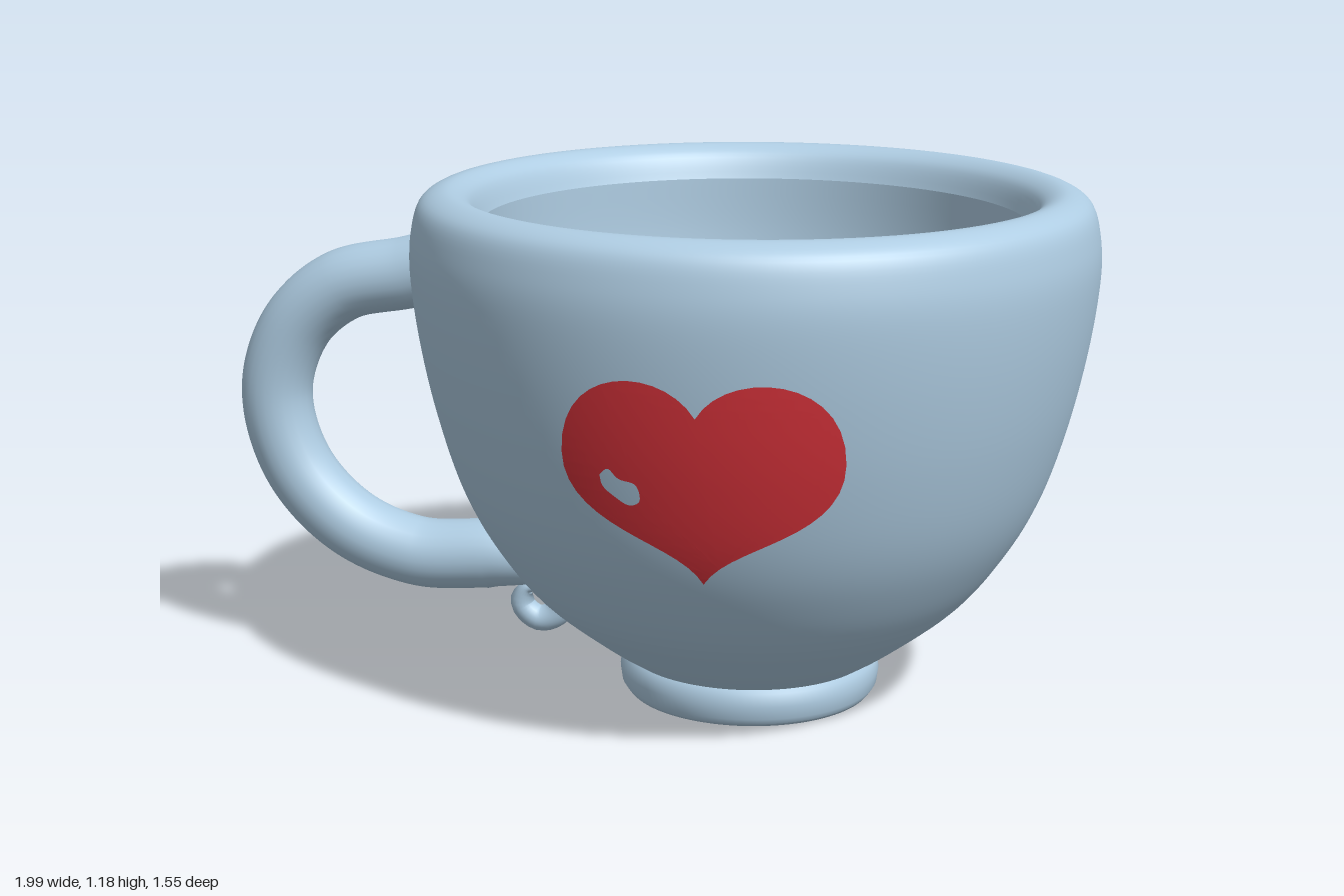
import * as THREE from 'three';
import { mergeVertices } from 'three/addons/utils/BufferGeometryUtils.js';

const SEGMENTS = 96;
const CUP_X = 0.225;      // cup axis
const TURN = -0.142;      // handle swings slightly towards the back

const vec2 = ([x, y]) => new THREE.Vector2(x, y);
const smoothProfile = (pts, n) => new THREE.SplineCurve(pts.map(vec2)).getPoints(n);

// Outer wall from the foot up and over the rounded rim
const wall = smoothProfile([
  [0.285, 0.085], [0.37, 0.143], [0.505, 0.255], [0.6, 0.38], [0.667, 0.51], [0.72, 0.68],
  [0.755, 0.85], [0.772, 1.0], [0.767, 1.09], [0.745, 1.155], [0.69, 1.18], [0.64, 1.158], [0.614, 1.1],
], 72);

// Radius of the outer wall at height y
function wallRadius(y) {
  const i = wall.findIndex((p, k) => k > 0 && p.y >= y);
  const a = wall[i - 1], b = wall[i];
  return THREE.MathUtils.mapLinear(y, a.y, b.y, a.x, b.x);
}

// Split every triangle in four, then bend the flat sheet onto the wall
function wrapOnWall(flat, levels) {
  const pos = flat.toNonIndexed().attributes.position;
  let tris = [];
  for (let i = 0; i < pos.count; i += 3) {
    tris.push([0, 1, 2].map((k) => new THREE.Vector3().fromBufferAttribute(pos, i + k)));
  }
  for (let l = 0; l < levels; l++) {
    tris = tris.flatMap(([a, b, c]) => {
      const ab = a.clone().lerp(b, 0.5), bc = b.clone().lerp(c, 0.5), ca = c.clone().lerp(a, 0.5);
      return [[a, ab, ca], [ab, b, bc], [ca, bc, c], [ab, bc, ca]];
    });
  }
  const points = tris.flat().map((p) =>
    new THREE.Vector3(p.x, p.y, Math.sqrt(wallRadius(p.y) ** 2 - p.x ** 2) + 0.004));
  const geometry = mergeVertices(new THREE.BufferGeometry().setFromPoints(points), 1e-5);
  geometry.computeVertexNormals();
  return geometry;
}

// Tube whose radius follows a list of [t, radius] stops
function taperedTube(curve, stops, rings, sides) {
  const geometry = new THREE.TubeGeometry(curve, rings, 1, sides);
  const pos = geometry.attributes.position;
  const v = new THREE.Vector3();
  for (let i = 0; i <= rings; i++) {
    const t = i / rings;
    const k = Math.max(1, stops.findIndex((s) => s[0] >= t));
    const [a, b] = [stops[k - 1], stops[k]];
    const r = THREE.MathUtils.mapLinear(t, a[0], b[0], a[1], b[1]);
    const centre = curve.getPointAt(t);
    for (let j = 0; j <= sides; j++) {
      const n = i * (sides + 1) + j;
      v.fromBufferAttribute(pos, n).sub(centre).multiplyScalar(r).add(centre);
      pos.setXYZ(n, v.x, v.y, v.z);
    }
  }
  return geometry;
}

export function createModel() {
  const glaze = new THREE.MeshStandardMaterial({ color: 0xafcde3 });
  glaze.name = 'paleBlueGlaze';
  const red = new THREE.MeshStandardMaterial({ color: 0xd5323a });
  red.name = 'heartRed';

  const model = new THREE.Group();
  model.name = 'mug';
  const cup = new THREE.Group();
  cup.name = 'cup';
  cup.position.x = CUP_X;
  model.add(cup);

  const add = (name, geometry, material = glaze) => {
    const mesh = new THREE.Mesh(geometry, material);
    mesh.name = name;
    cup.add(mesh);
    return mesh;
  };
  const lathe = (name, pts) => add(name, new THREE.LatheGeometry(pts, SEGMENTS));

  // Bowl and foot
  lathe('outerWall', wall);
  lathe('innerBowl', smoothProfile([
    [0.614, 1.1], [0.612, 0.95], [0.59, 0.78], [0.54, 0.58], [0.44, 0.4], [0.27, 0.27], [0, 0.22],
  ], 32));
  lathe('footRing', [[0.29, 0.006], [0.299, 0.02], [0.303, 0.05], [0.299, 0.08], [0.283, 0.092]].map(vec2));
  lathe('footBase', [[0, 0], [0.285, 0], [0.29, 0.006]].map(vec2));

  // Handle with a small curl at its lower end
  const path = new THREE.CatmullRomCurve3([
    [-0.68, 0.985], [-0.81, 0.95], [-0.98, 0.91], [-1.095, 0.81], [-1.15, 0.65], [-1.105, 0.47],
    [-0.98, 0.335], [-0.81, 0.27], [-0.6, 0.275], [-0.49, 0.255], [-0.445, 0.195], [-0.465, 0.14],
    [-0.51, 0.122], [-0.55, 0.155], [-0.54, 0.195], [-0.51, 0.195],
  ].map(([x, y]) => new THREE.Vector3(x, y, 0)));
  const stops = [[0, 0.085], [0.75, 0.083], [0.8, 0.066], [0.86, 0.036], [0.97, 0.028], [1, 0.004]];
  add('handle', taperedTube(path, stops, 160, 24)).rotation.y = TURN;

  // Painted heart with a highlight cut out of it
  const heart = new THREE.Shape();
  heart.moveTo(-0.092, 0.83);
  heart.bezierCurveTo(-0.03, 0.945, 0.21, 0.93, 0.21, 0.73);
  heart.bezierCurveTo(0.21, 0.56, -0.02, 0.56, -0.078, 0.45);
  heart.bezierCurveTo(-0.13, 0.56, -0.37, 0.56, -0.37, 0.73);
  heart.bezierCurveTo(-0.37, 0.93, -0.16, 0.945, -0.092, 0.83);
  const glint = new THREE.Path();
  glint.moveTo(-0.29, 0.69);
  glint.splineThru([
    [-0.272, 0.705], [-0.25, 0.685], [-0.215, 0.675], [-0.207, 0.64],
    [-0.23, 0.627], [-0.262, 0.645], [-0.284, 0.665], [-0.29, 0.69],
  ].map(vec2));
  heart.holes.push(glint);
  add('heart', wrapOnWall(new THREE.ShapeGeometry(heart, 14), 4), red);

  return model;
}
